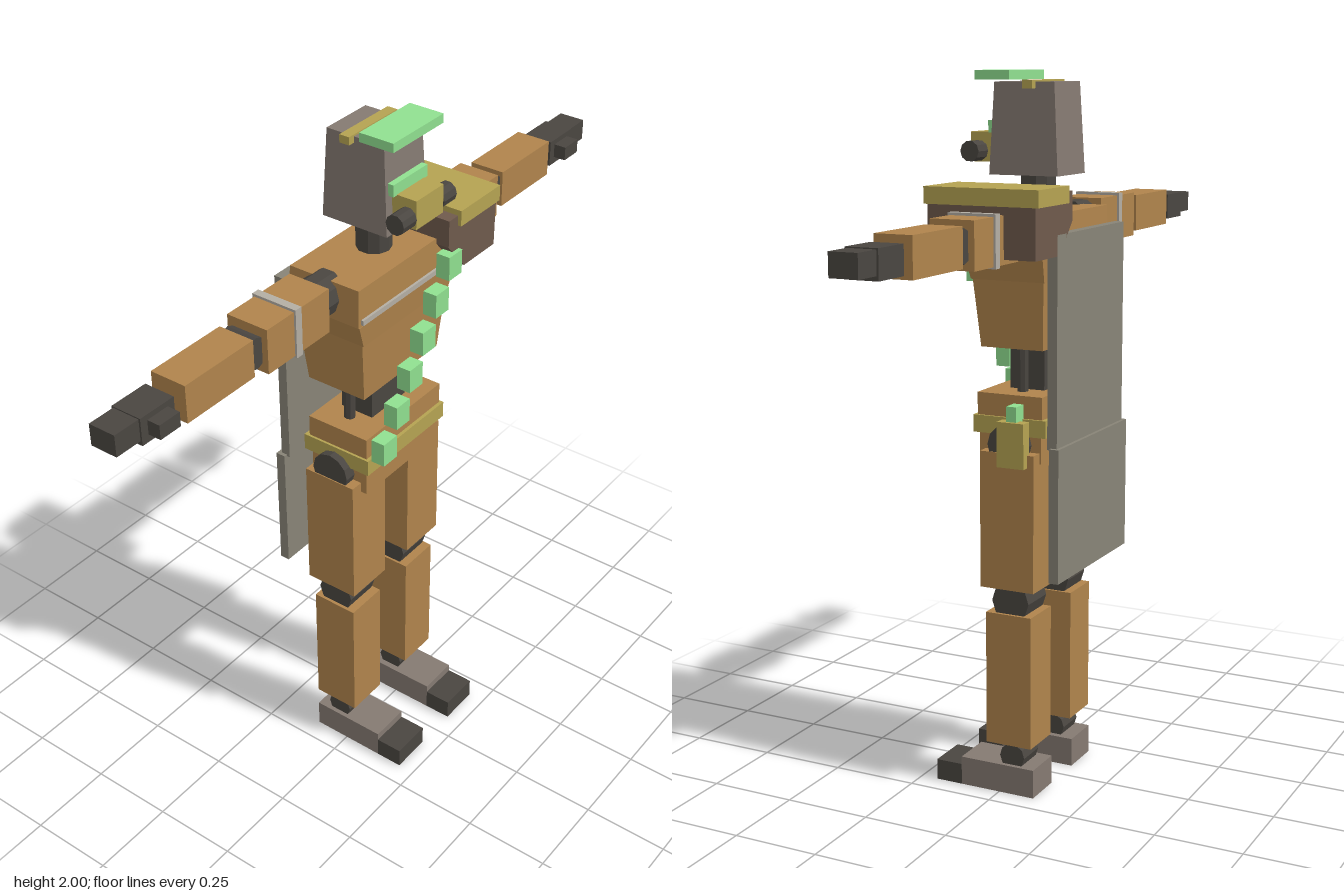
import * as THREE from 'three';

const TAN = 0xb0844c, DARK = 0x4a4641, GREY = 0x857a72, OLIVE = 0xb5a352,
  GREEN = 0x90e090, BROWN = 0x6f5a4c, CLOAK = 0x888477, STRAP = 0xb4aea4;

const materials = new Map();
function material(color) {
  if (!materials.has(color)) materials.set(color, new THREE.MeshStandardMaterial({ color, flatShading: true }));
  return materials.get(color);
}

function addMesh(parent, name, color, geometry) {
  const mesh = new THREE.Mesh(geometry, material(color));
  mesh.name = name;
  parent.add(mesh);
  return mesh;
}

// Box given by its extents; taper scales the x and z of its bottom face.
function box(parent, name, color, [x0, x1], [y0, y1], [z0, z1], taperX = 1, taperZ = taperX) {
  const geometry = new THREE.BoxGeometry(x1 - x0, y1 - y0, z1 - z0);
  const p = geometry.attributes.position;
  for (let i = 0; i < p.count; i++) {
    if (p.getY(i) < 0) p.setXYZ(i, p.getX(i) * taperX, p.getY(i), p.getZ(i) * taperZ);
  }
  geometry.computeVertexNormals();
  const mesh = addMesh(parent, name, color, geometry);
  mesh.position.set((x0 + x1) / 2, (y0 + y1) / 2, (z0 + z1) / 2);
  return mesh;
}

// Low-sided cylinder centred on a point and lying along one axis.
function rod(parent, name, color, axis, radius, length, [x, y, z], sides = 10) {
  const geometry = new THREE.CylinderGeometry(radius, radius, length, sides);
  if (axis === 'x') geometry.rotateZ(Math.PI / 2);
  if (axis === 'z') geometry.rotateX(Math.PI / 2);
  addMesh(parent, name, color, geometry).position.set(x, y, z);
}

// x extents reflected to the chosen side
const side = (s, a, b) => (s > 0 ? [a, b] : [-b, -a]);

function buildHead(parent) {
  const head = new THREE.Group();
  head.name = 'head';
  parent.add(head);
  rod(head, 'neck', DARK, 'y', 0.048, 0.14, [0, 1.68, -0.03]);
  box(head, 'skull', GREY, [-0.08, 0.08], [1.725, 1.97], [-0.115, 0.062], 1.08, 1.15);
  box(head, 'capBrim', GREEN, [-0.105, 0.105], [1.975, 2], [0.005, 0.108]);
  box(head, 'brimPivot', OLIVE, [-0.1, 0.1], [1.953, 1.975], [-0.06, -0.03]);
  box(head, 'visor', GREEN, [-0.072, 0.072], [1.835, 1.868], [0.05, 0.085]);
  box(head, 'mask', OLIVE, [-0.058, 0.058], [1.757, 1.837], [0.05, 0.145]);
  for (const s of [1, -1]) rod(head, 'maskFilter', DARK, 'x', 0.028, 0.055, [s * 0.087, 1.787, 0.12]);
}

function buildTorso(parent) {
  const torso = new THREE.Group();
  torso.name = 'torso';
  parent.add(torso);
  box(torso, 'shoulders', TAN, [-0.21, 0.21], [1.525, 1.63], [-0.14, 0.08], 1.03);
  box(torso, 'upperChest', TAN, [-0.215, 0.215], [1.455, 1.525], [-0.147, 0.085], 0.88, 0.94);
  box(torso, 'chest', TAN, [-0.188, 0.188], [1.27, 1.456], [-0.137, 0.073], 0.88);
  box(torso, 'chestStrap', STRAP, [-0.205, 0.205], [1.53, 1.545], [0.07, 0.09]);

  // Waist core with a slim strut on each side
  box(torso, 'waist', DARK, [-0.075, 0.075], [1.13, 1.29], [-0.085, 0.018]);
  for (const s of [1, -1]) rod(torso, 'waistStrut', DARK, 'y', 0.016, 0.16, [s * 0.105, 1.21, -0.035], 8);

  box(torso, 'hips', TAN, [-0.17, 0.17], [1.08, 1.145], [-0.125, 0.07]);
  box(torso, 'belt', OLIVE, [-0.177, 0.177], [1.035, 1.083], [-0.138, 0.08]);
  box(torso, 'pelvis', TAN, [-0.165, 0.165], [0.96, 1.036], [-0.12, 0.066]);
  rod(torso, 'hipAxle', DARK, 'x', 0.058, 0.4, [0, 1.01, -0.033], 12);

  // Sidearm on the left hip
  box(torso, 'holster', OLIVE, [0.19, 0.225], [0.955, 1.08], [-0.096, -0.016]);
  box(torso, 'holsterGrip', GREEN, [0.165, 0.215], [1.075, 1.122], [-0.07, -0.04]);

  // Diagonal row of pouches across the chest
  for (let i = 0; i < 6; i++) {
    const x = 0.142 - i * 0.0575, y = 1.56 - i * 0.0873;
    box(torso, 'bandolierPouch', GREEN, [x - 0.029, x + 0.029], [y - 0.035, y + 0.035], [0.09, 0.132]);
  }

  box(torso, 'upperCloak', CLOAK, [-0.215, 0.215], [1.015, 1.585], [-0.19, -0.162]);
  box(torso, 'lowerCloak', CLOAK, [-0.226, 0.226], [0.65, 1.02], [-0.2, -0.172]);
}

function buildPauldron(parent) {
  const pauldron = new THREE.Group();
  pauldron.name = 'leftPauldron';
  parent.add(pauldron);
  // Shell with its inner lower corner cut away
  const outline = new THREE.Shape([[0.125, 1.693], [0.125, 1.615], [0.2, 1.53], [0.342, 1.53], [0.345, 1.67], [0.17, 1.693]]
    .map(([x, y]) => new THREE.Vector2(x, y)));
  const shell = new THREE.ExtrudeGeometry(outline, { depth: 0.31, bevelEnabled: false });
  addMesh(pauldron, 'pauldronShell', BROWN, shell).position.z = -0.19;
  box(pauldron, 'pauldronPlate', OLIVE, [0.165, 0.347], [1.664, 1.709], [-0.2, 0.13]);
}

function buildArm(parent, s) {
  const arm = new THREE.Group();
  arm.name = s > 0 ? 'leftArm' : 'rightArm';
  parent.add(arm);
  rod(arm, 'shoulderJoint', DARK, 'x', 0.058, 0.09, [s * 0.225, 1.583, -0.038]);
  box(arm, 'upperArm', TAN, side(s, 0.26, 0.5), [1.517, 1.643], [-0.1, 0.025]);
  box(arm, 'armBand', STRAP, side(s, 0.375, 0.398), [1.512, 1.65], [-0.106, 0.031]);
  rod(arm, 'elbow', DARK, 'z', 0.045, 0.09, [s * 0.52, 1.58, -0.038], 8);
  box(arm, 'forearm', TAN, side(s, 0.54, 0.782), [1.527, 1.632], [-0.09, 0.015]);
  box(arm, 'palm', DARK, side(s, 0.81, 0.922), [1.54, 1.615], [-0.083, 0.005]);
  box(arm, 'fingers', DARK, side(s, 0.92, 1), [1.552, 1.612], [-0.078, 0]);
  box(arm, 'thumb', DARK, side(s, 0.832, 0.9), [1.56, 1.6], [0, 0.042]);
}

function buildLeg(parent, s) {
  const leg = new THREE.Group();
  leg.name = s > 0 ? 'leftLeg' : 'rightLeg';
  parent.add(leg);
  box(leg, 'thigh', TAN, side(s, 0.054, 0.203), [0.605, 0.99], [-0.115, 0.047]);
  rod(leg, 'knee', DARK, 'x', 0.056, 0.112, [s * 0.128, 0.565, -0.035]);
  box(leg, 'shin', TAN, side(s, 0.065, 0.193), [0.147, 0.53], [-0.102, 0.036]);
  rod(leg, 'ankle', DARK, 'x', 0.038, 0.09, [s * 0.13, 0.107, -0.035]);
  box(leg, 'foot', GREY, side(s, 0.067, 0.188), [0, 0.083], [-0.107, 0.12]);
  box(leg, 'toe', DARK, side(s, 0.067, 0.188), [0, 0.06], [0.12, 0.2]);
}

export function createModel() {
  const model = new THREE.Group();
  model.name = 'armouredFigure';
  buildHead(model);
  buildTorso(model);
  buildPauldron(model);
  for (const s of [1, -1]) {
    buildArm(model, s);
    buildLeg(model, s);
  }
  return model;
}
